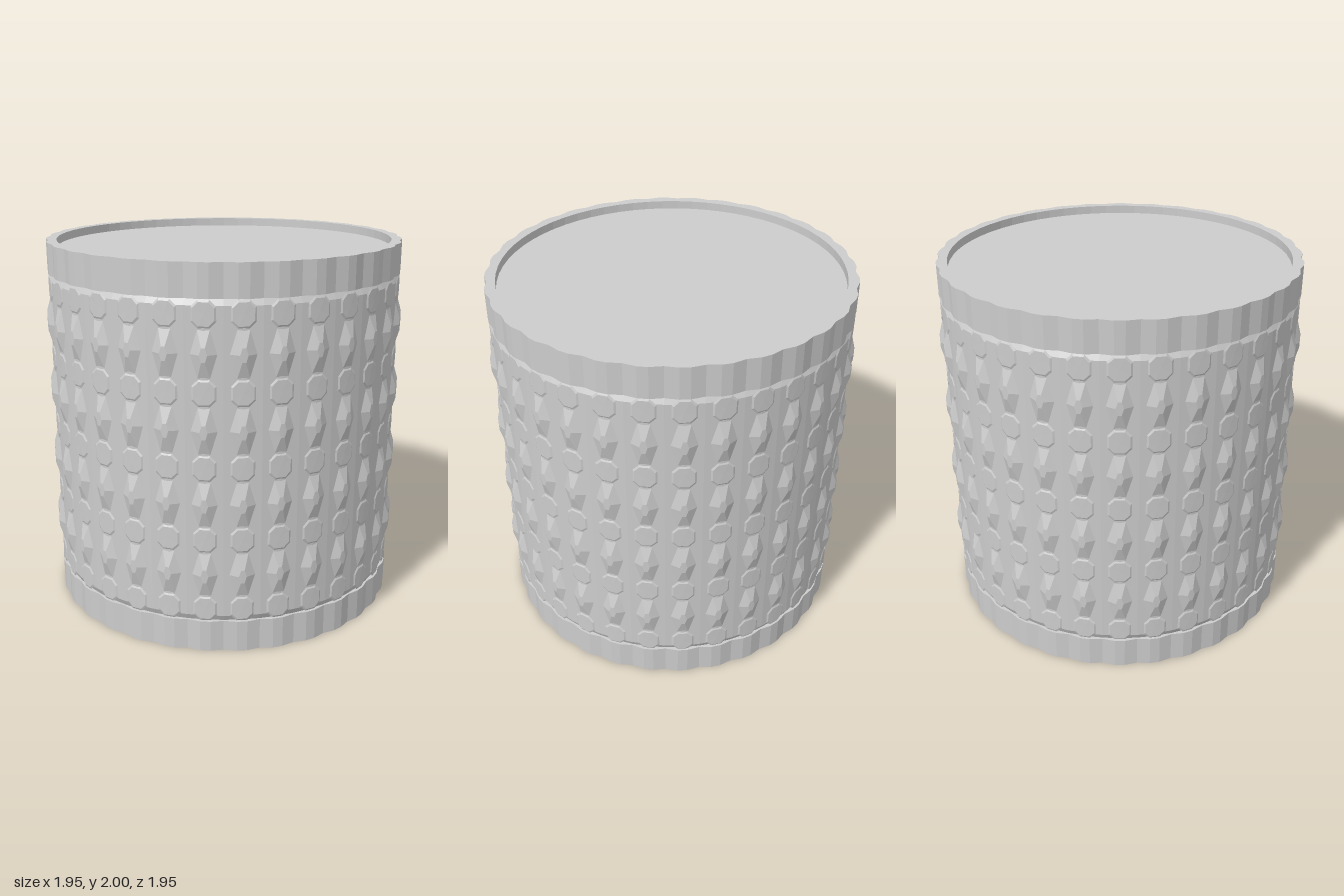
import * as THREE from 'three';
import { mergeGeometries } from 'three/addons/utils/BufferGeometryUtils.js';

const COLUMNS = 32;
const STEP = (Math.PI * 2) / COLUMNS;
const WALL = 0.957;

// Raised facet: outline (CCW) on the wall, a scaled copy of it further out, joined by slopes
function stud(outline, inset, rise, angle, y) {
  const at = ([x, h], scale, r) => {
    const t = angle + (x * scale) / WALL;
    return [Math.sin(t) * r, y + h * scale, Math.cos(t) * r];
  };
  const low = outline.map((p) => at(p, 1, WALL - 0.001));
  const high = outline.map((p) => at(p, inset, WALL + rise));
  const peak = at([0, 0], 1, WALL + rise);
  const v = [];
  outline.forEach((_, i) => {
    const j = (i + 1) % outline.length;
    v.push(...low[i], ...low[j], ...high[j], ...low[i], ...high[j], ...high[i]);
    v.push(...high[i], ...high[j], ...peak);
  });
  const g = new THREE.BufferGeometry();
  g.setAttribute('position', new THREE.Float32BufferAttribute(v, 3));
  g.computeVertexNormals();
  return g;
}

// One row of studs around the wall
function studRow(outline, inset, rise, y) {
  const parts = [];
  for (let i = 0; i < COLUMNS; i++) parts.push(stud(outline, inset, rise, (i + 0.5) * STEP, y));
  return mergeGeometries(parts);
}

// Scalloped ring with a round opening
function rimGeometry(height) {
  const shape = new THREE.Shape();
  const pts = [];
  for (let i = 0; i < COLUMNS; i++) {
    for (const [offset, r] of [[0, 0.951], [0.36, 0.964], [0.64, 0.964]]) {
      const a = (i + offset) * STEP;
      pts.push(new THREE.Vector2(Math.cos(a) * r, Math.sin(a) * r));
    }
  }
  shape.setFromPoints(pts);
  const hole = new THREE.Path();
  hole.absarc(0, 0, 0.907, 0, Math.PI * 2, true);
  shape.holes.push(hole);
  const g = new THREE.ExtrudeGeometry(shape, { depth: height, bevelEnabled: false, curveSegments: 32 });
  return g.rotateX(-Math.PI / 2);
}

export function createModel() {
  const group = new THREE.Group();
  const grey = new THREE.MeshStandardMaterial({ color: 0xcccccc, flatShading: true });
  grey.name = 'light grey';
  const add = (name, geometry, y = 0) => {
    const mesh = new THREE.Mesh(geometry, grey);
    mesh.name = name;
    mesh.position.y = y;
    group.add(mesh);
  };

  // Solid core whose ends are the recessed discs
  add('core', new THREE.CylinderGeometry(0.908, 0.908, 1.91, 64), 1);

  // Wall with sloping shoulders
  const profile = [[0.94, 0.165], [WALL, 0.2], [WALL, 1.8], [0.94, 1.835]];
  add('wall', new THREE.LatheGeometry(profile.map((p) => new THREE.Vector2(...p)), 64));

  // Rims
  add('bottomRim', rimGeometry(0.168));
  add('topRim', rimGeometry(0.168), 1.832);

  // Tall hexagonal studs, alternating with flat octagonal ones
  const hexagon = [[-0.03, -0.117], [0.03, -0.117], [0.065, 0], [0.03, 0.117], [-0.03, 0.117], [-0.065, 0]];
  const octagon = [[-0.028, -0.067], [0.028, -0.067], [0.06, -0.035], [0.06, 0.035],
    [0.028, 0.067], [-0.028, 0.067], [-0.06, 0.035], [-0.06, -0.035]];
  for (let i = 0; i < 4; i++) add('tallStuds', studRow(hexagon, 0.3, 0.023, 0.43 + i * 0.38));
  for (let i = 0; i < 5; i++) add('flatStuds', studRow(octagon, 0.85, 0.004, 0.24 + i * 0.38));

  return group;
}
